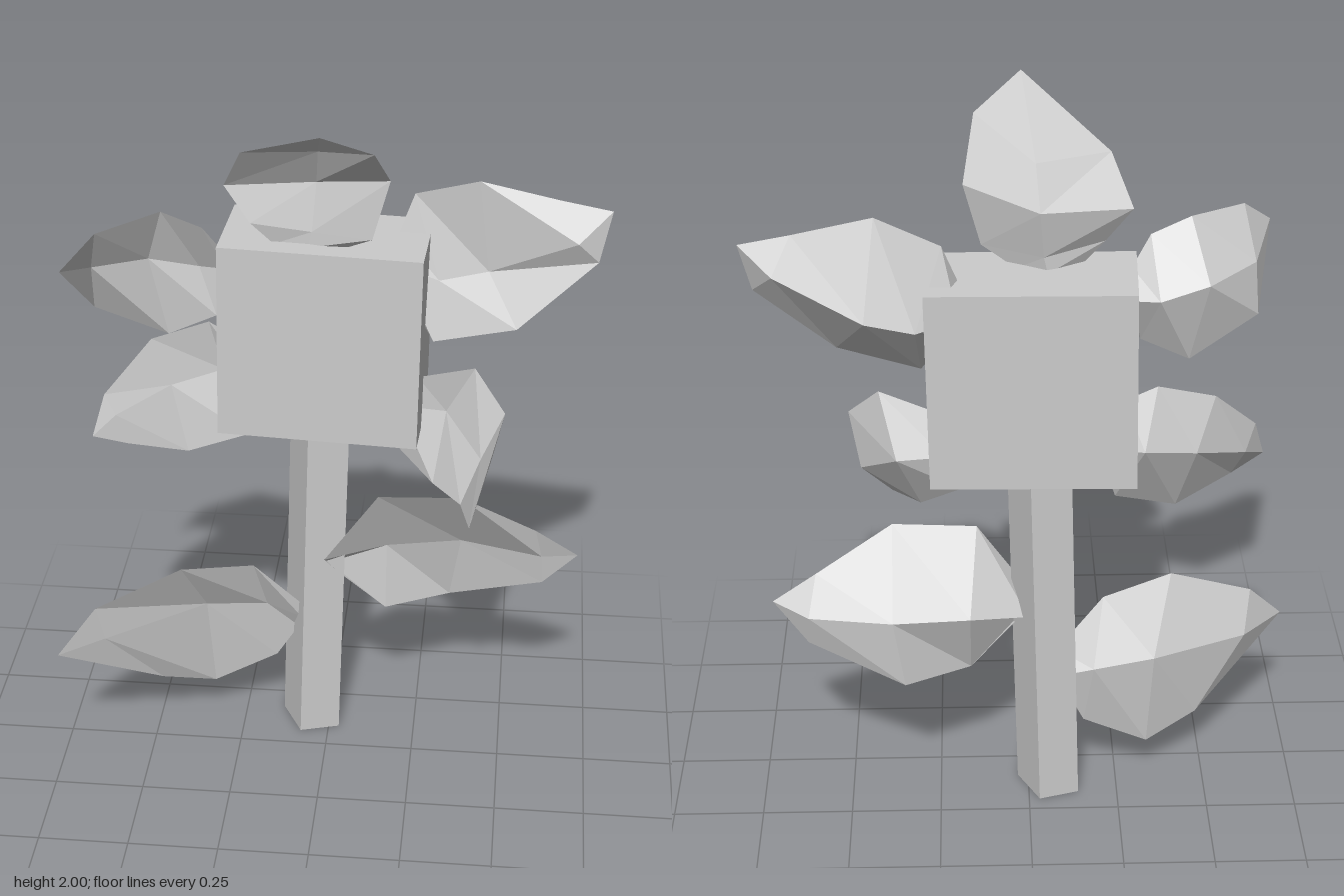
import * as THREE from 'three';

const material = new THREE.MeshStandardMaterial({ color: 0xcccccc, flatShading: true });

// Cupped leaf lofted from base to tip. Each section gives the left edge, right edge
// and back ridge; the front valley is the ridge moved by `depth`.
function cuppedLeaf(name, sections, tip, depth = [0, 0, 0.055]) {
  const pos = [], index = [];
  for (const [left, right, back] of sections) {
    const front = back.map((v, i) => v + depth[i]);
    pos.push(...left, ...front, ...right, ...back);
  }
  pos.push(...tip);
  const last = (sections.length - 1) * 4, tipIndex = last + 4;
  for (let s = 0; s < sections.length - 1; s++) {
    for (let j = 0; j < 4; j++) {
      const a = s * 4 + j, b = s * 4 + (j + 1) % 4;
      index.push(a, b, b + 4, a, b + 4, a + 4);
    }
  }
  for (let j = 0; j < 4; j++) index.push(last + j, last + (j + 1) % 4, tipIndex);
  index.push(0, 2, 1, 0, 3, 2); // base cap
  const geo = new THREE.BufferGeometry();
  geo.setAttribute('position', new THREE.Float32BufferAttribute(pos, 3));
  geo.setIndex(index);
  const flat = geo.toNonIndexed();
  flat.computeVertexNormals();
  const mesh = new THREE.Mesh(flat, material);
  mesh.name = name;
  return mesh;
}

export function createModel() {
  const model = new THREE.Group();
  model.name = 'flower';

  // Stem: a skewed square prism, turned and leaning slightly to its left
  const stemGeo = new THREE.BoxGeometry(1, 1, 1);
  stemGeo.translate(0, 0.5, 0).applyMatrix4(new THREE.Matrix4().makeBasis(
    new THREE.Vector3(0.11, 0, -0.032),
    new THREE.Vector3(0.027, 1.05, 0),
    new THREE.Vector3(0.06, 0, 0.115),
  )).translate(-0.055, 0, -0.132);
  const stem = new THREE.Mesh(stemGeo, material);
  stem.name = 'stem';
  model.add(stem);

  // Box-shaped flower head
  const head = new THREE.Mesh(new THREE.BoxGeometry(0.54, 0.55, 0.28), material);
  head.position.set(-0.012, 1.31, -0.11);
  head.rotation.set(0, -0.045, -0.015);
  head.name = 'flowerHead';
  model.add(head);

  // Five petals
  model.add(cuppedLeaf('topPetal', [
    [[-0.14, 1.58, -0.04], [0.03, 1.57, -0.04], [-0.05, 1.575, -0.09]],
    [[-0.2, 1.64, -0.03], [0.12, 1.62, 0], [-0.04, 1.62, -0.09]],
    [[-0.27, 1.735, -0.05], [0.165, 1.785, 0], [-0.03, 1.75, -0.115]],
    [[-0.215, 1.86, 0.03], [0.135, 1.92, 0.16], [-0.02, 1.86, -0.05]],
  ], [0.01, 2, 0.26]));

  model.add(cuppedLeaf('upperLeftPetal', [
    [[0.18, 1.58, -0.14], [0.2, 1.42, -0.12], [0.18, 1.5, -0.2]],
    [[0.22, 1.685, -0.16], [0.28, 1.3, -0.07], [0.29, 1.46, -0.2]],
    [[0.39, 1.745, -0.115], [0.5, 1.355, -0.05], [0.42, 1.49, -0.205]],
    [[0.6, 1.7, -0.115], [0.705, 1.54, -0.09], [0.65, 1.6, -0.155]],
  ], [0.735, 1.675, -0.115], [0, 0, 0.09]));

  model.add(cuppedLeaf('upperRightPetal', [
    [[-0.27, 1.42, -0.04], [-0.27, 1.56, -0.02], [-0.27, 1.5, -0.1]],
    [[-0.295, 1.365, -0.04], [-0.32, 1.64, 0.01], [-0.34, 1.5, -0.11]],
    [[-0.425, 1.305, -0.04], [-0.425, 1.685, 0.02], [-0.47, 1.53, -0.08]],
    [[-0.61, 1.405, 0.02], [-0.575, 1.67, 0.14], [-0.6, 1.55, 0.03]],
  ], [-0.655, 1.595, 0.215]));

  model.add(cuppedLeaf('lowerRightPetal', [
    [[-0.21, 1.02, -0.16], [-0.25, 1.24, -0.15], [-0.22, 1.12, -0.2]],
    [[-0.23, 0.95, -0.14], [-0.335, 1.285, -0.16], [-0.3, 1.13, -0.235]],
    [[-0.395, 0.905, -0.11], [-0.49, 1.24, -0.13], [-0.44, 1.1, -0.185]],
    [[-0.55, 0.96, -0.04], [-0.61, 1.11, -0.04], [-0.58, 1.05, -0.09]],
  ], [-0.64, 1, 0]));

  model.add(cuppedLeaf('lowerLeftPetal', [
    [[0.24, 1.18, -0.09], [0.18, 0.96, -0.11], [0.22, 1.07, -0.135]],
    [[0.395, 1.23, -0.06], [0.29, 0.88, -0.04], [0.35, 1.06, -0.135]],
    [[0.48, 1.135, 0.01], [0.37, 0.87, 0.05], [0.45, 0.98, -0.02]],
  ], [0.4, 0.91, 0.235], [-0.03, 0.02, 0.045]));

  // Two stem leaves
  model.add(cuppedLeaf('leftStemLeaf', [
    [[-0.01, 0.6, -0.06], [0.03, 0.54, -0.09], [0, 0.57, -0.14]],
    [[0.14, 0.815, -0.06], [0.16, 0.405, -0.13], [0.16, 0.6, -0.2]],
    [[0.37, 0.825, -0.06], [0.34, 0.405, -0.22], [0.37, 0.61, -0.23]],
    [[0.58, 0.7, -0.11], [0.605, 0.505, -0.15], [0.6, 0.6, -0.18]],
  ], [0.7, 0.62, -0.12], [0, 0, 0.045]));

  model.add(cuppedLeaf('rightStemLeaf', [
    [[-0.09, 0.33, -0.12], [-0.08, 0.43, -0.09], [-0.08, 0.38, -0.15]],
    [[-0.155, 0.22, -0.13], [-0.21, 0.575, -0.05], [-0.18, 0.41, -0.165]],
    [[-0.335, 0.13, -0.11], [-0.405, 0.6, 0.03], [-0.35, 0.42, -0.13]],
    [[-0.48, 0.18, -0.04], [-0.64, 0.5, 0.1], [-0.62, 0.39, 0.03]],
  ], [-0.74, 0.38, 0.165]));

  return model;
}
